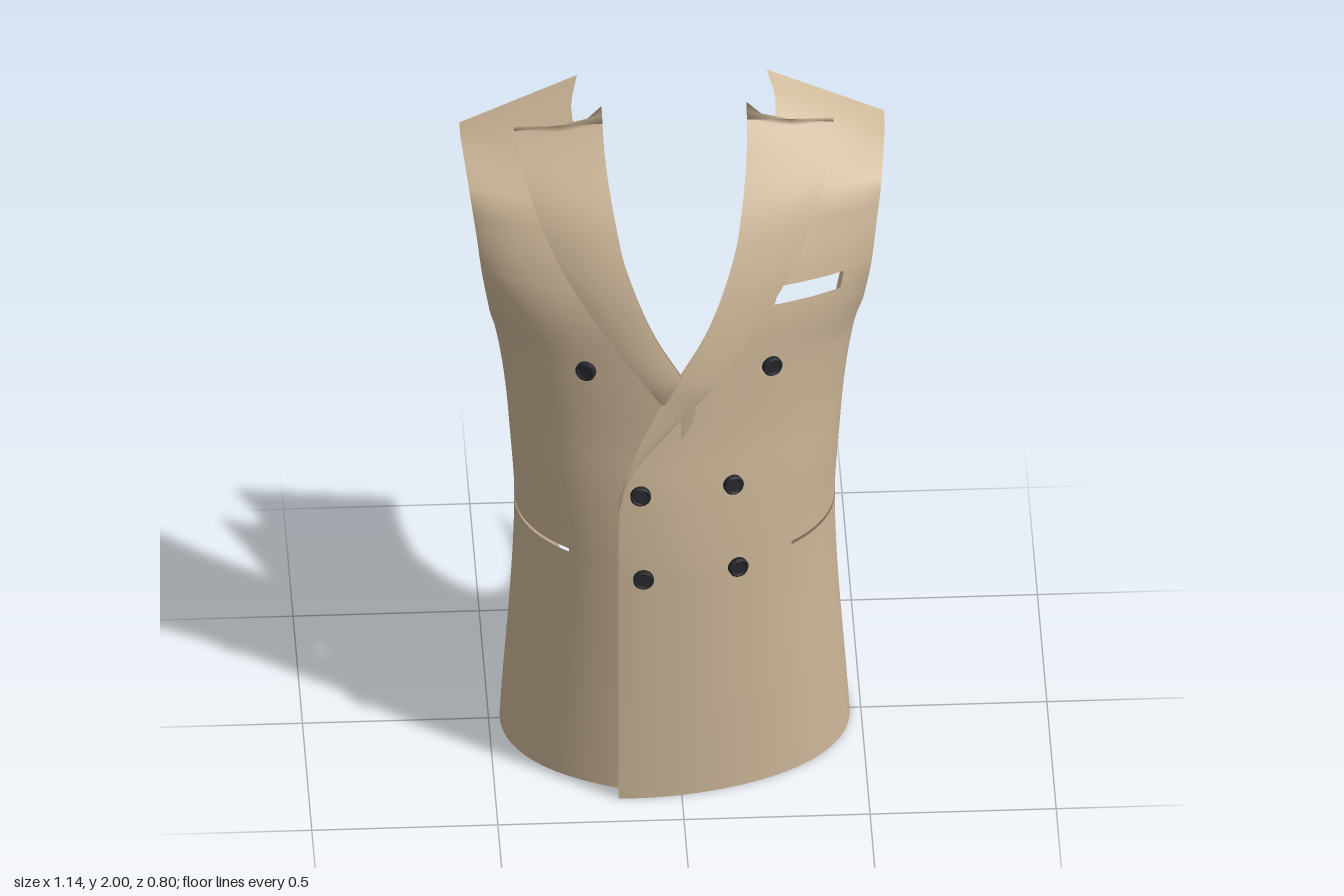
import * as THREE from 'three';

const { lerp, smoothstep } = THREE.MathUtils;

const cloth = new THREE.MeshStandardMaterial({ color: 0xcbb597, side: THREE.DoubleSide });
cloth.name = 'tan cloth';
const dark = new THREE.MeshStandardMaterial({ color: 0x26272b });
dark.name = 'dark button';

// Front of a panel by height: y, front edge x, depth, half width, share of the width reached at the armhole
const frontKnots = [
  [0, -.17, .385, .47, 1],
  [.72, -.17, .372, .43, 1],
  [.95, -.165, .357, .443, 1],
  [1.1, -.12, .34, .455, 1],
  [1.3, -.02, .325, .485, 1],
  [1.45, .07, .31, .54, .944],
  [1.6, .135, .26, .59, .9],
  [1.74, .18, .18, .6, .917],
];
// Back edge by height: y, x, z, with a step at the waist
const backKnots = [
  [0, .255, -.4], [.69, .36, -.32], [.718, .4, -.25],
  [.9, .4, -.24], [1.1, .43, -.26], [1.3, .505, -.36],
];
// Shoulder: neck end and arm end of three lines running over to the back
const shoulderLines = [
  [[.245, 1.87, .04], [.565, 1.815, -.05]],
  [[.275, 1.945, -.06], [.57, 1.832, -.115]],
  [[.255, 1.995, -.15], [.57, 1.84, -.165]],
].map((line) => line.map((p) => new THREE.Vector3(...p)));

// Smooth interpolation of knots by their first value, without overshoot
function valuesAt(knots, y) {
  const last = knots.length - 1;
  let i = 0;
  while (i < last - 1 && y > knots[i + 1][0]) i++;
  const [a, b] = [knots[i], knots[i + 1]];
  const h = b[0] - a[0], s = (y - a[0]) / h, ease = s * s * (3 - 2 * s);
  return a.slice(1).map((_, k) => {
    const c = k + 1;
    const rise = (j) => (knots[j + 1][c] - knots[j][c]) / (knots[j + 1][0] - knots[j][0]);
    const slope = (j) => {
      const p = rise(Math.max(j - 1, 0)), q = rise(Math.min(j, last - 1));
      return p * q <= 0 ? 0 : (2 * p * q) / (p + q);
    };
    return lerp(a[c], b[c], ease) + h * s * (1 - s) * (slope(i) * (1 - s) - slope(i + 1) * s);
  });
}

const ARMHOLE = 1.3, CHEST = 1.74, TOP = 2;

// Point below the shoulder; u runs 0 to 1 over the front and 1 to 2 round to the back edge
function torsoPoint(u, y, overlaps) {
  const [edge, depth, width, reach] = valuesAt(frontKnots, y);
  if (u > 1) {
    const [bx, bz] = valuesAt(backKnots, y);
    const s = u - 1, lift = smoothstep(y, 1.1, ARMHOLE);
    return new THREE.Vector3(
      lerp(width, bx, s * s), y + lift * (.08 * s ** 3 - .12 * s * (1 - s)), bz * s);
  }
  // The panel underneath ends further back
  const start = overlaps ? edge : lerp(.15, edge, smoothstep(y, .92, ARMHOLE));
  const x = lerp(start, width * reach, Math.sin(u * Math.PI / 2)), r = x / width;
  return new THREE.Vector3(x, y, depth * Math.sqrt(Math.max(0, 1 - r * r)) - .15 * x * (1 - r));
}

// Whole panel; above the chest it curves over the shoulder
function panelPoint(u, v, overlaps) {
  if (v <= CHEST) return torsoPoint(u, v, overlaps);
  const f = Math.sin(u * Math.PI / 2);
  const path = [CHEST - .05, CHEST].map((y) => torsoPoint(u, y, overlaps));
  for (const [neck, arm] of shoulderLines) path.push(neck.clone().lerp(arm, f));
  return new THREE.CatmullRomCurve3(path).getPoint((1 + 3 * (v - CHEST) / (TOP - CHEST)) / 4);
}

// Mesh from rows of points; side -1 mirrors it, skip(i, j) leaves a cell open
function sheet(rows, side = 1, skip = () => false) {
  const width = rows[0].length, index = [];
  const position = rows.flat().flatMap((p) => [p.x * side, p.y, p.z]);
  for (let j = 0; j < rows.length - 1; j++) {
    for (let i = 0; i < width - 1; i++) {
      if (skip(i, j)) continue;
      const a = j * width + i, b = a + 1, c = a + width, d = c + 1;
      if (side > 0) index.push(a, b, d, a, d, c);
      else index.push(a, d, b, a, c, d);
    }
  }
  const geometry = new THREE.BufferGeometry();
  geometry.setAttribute('position', new THREE.Float32BufferAttribute(position, 3));
  geometry.setIndex(index);
  geometry.computeVertexNormals();
  return geometry;
}

// Panel with open armhole and pocket openings; the left one overlaps and has a chest pocket
function panel(side) {
  const overlaps = side > 0, N = 40, STEPS = 5;
  const stops = [0, .35, .69, .718, .728, .9, 1.1, ARMHOLE, 1.36, 1.5, 1.548, CHEST, 1.87, TOP];
  const heights = [0];
  for (let k = 1; k < stops.length; k++) {
    for (let n = 1; n <= STEPS; n++) heights.push(n === STEPS ? stops[k] : lerp(stops[k - 1], stops[k], n / STEPS));
  }
  const rows = heights.map((v) => Array.from({ length: 2 * N + 1 }, (_, i) =>
    panelPoint(v > ARMHOLE ? Math.min(i / N, 1) : i / N, v, overlaps)));
  return sheet(rows, side, (i, j) => {
    const v = heights[j], { x, z } = rows[j][i];
    const armhole = v >= ARMHOLE && i >= N;
    const sidePocket = v >= .718 && v < .728 && x > .29 && z > -.11;
    const chestPocket = overlaps && v >= 1.5 && v < 1.548 && x > .255 && x < .435;
    return armhole || sidePocket || chestPocket;
  });
}

// Lapel from pairs of inner and outer edge points, bottom to top, ending in a notch
const lapelTop = [
  [[0, 1.33, .342], [.09, 1.30, .335]],
  [[.07, 1.45, .315], [.215, 1.46, .275]],
  [[.135, 1.6, .262], [.315, 1.61, .207]],
  [[.17, 1.75, .18], [.385, 1.76, .12]],
  [[.19, 1.87, .07], [.42, 1.855, .014]],
  [[.195, 1.975, -.03], [.43, 1.895, -.06]],
];
const lapelRoll = [
  [[-.171, .93, .376], [-.165, .95, .378]],
  [[-.15, 1.04, .375], [-.12, 1.06, .366]],
  [[-.05, 1.24, .352], [.01, 1.21, .345]],
];
const lapelTuck = [[[0, 1.29, .332], [.05, 1.24, .334]]];

function lapel(start, side) {
  const pairs = [...start, ...lapelTop];
  const curves = [0, 1].map((k) => new THREE.CatmullRomCurve3(pairs.map((p) => new THREE.Vector3(...p[k]))));
  const steps = (pairs.length - 1) * 6;
  const rows = Array.from({ length: steps + 1 }, (_, j) => {
    const [a, b] = curves.map((c) => c.getPoint(j / steps));
    const middle = a.clone().lerp(b, .5);
    middle.z += .012;
    if (j === steps) middle.set(.32, 1.88, .015);
    return [a, middle, b];
  });
  return sheet(rows, side);
}

export function createModel() {
  const group = new THREE.Group();
  const add = (name, geometry) => {
    const mesh = new THREE.Mesh(geometry, cloth);
    mesh.name = name;
    group.add(mesh);
  };
  add('leftPanel', panel(1));
  add('rightPanel', panel(-1));
  add('leftLapel', lapel(lapelRoll, 1));
  add('rightLapel', lapel(lapelTuck, -1));

  // Buttons lie on the cloth: side of the panel, x and y on that panel
  const disc = new THREE.CylinderGeometry(.026, .028, .014, 20).rotateX(Math.PI / 2);
  const rim = new THREE.TorusGeometry(.023, .005, 6, 20).translate(0, 0, .007);
  const places = [[1, .247, 1.315], [1, .14, .972], [1, .152, .71],
    [1, -.11, .972], [1, -.103, .71], [-1, .25, 1.315]];
  for (const [side, x, y] of places) {
    const depthAt = (px, py) => {
      const [, depth, width] = valuesAt(frontKnots, py), r = px / width;
      return depth * Math.sqrt(1 - r * r) - .15 * px * (1 - r);
    };
    const z = depthAt(x, y), e = .01;
    const normal = new THREE.Vector3(
      side * (z - depthAt(x + e, y)) / e, (z - depthAt(x, y + e)) / e, 1).normalize();
    const button = new THREE.Group();
    button.name = 'button';
    for (const part of [disc, rim]) button.add(new THREE.Mesh(part, dark));
    button.position.set(side * x, y, z).addScaledVector(normal, .004);
    button.quaternion.setFromUnitVectors(new THREE.Vector3(0, 0, 1), normal);
    group.add(button);
  }
  return group;
}
